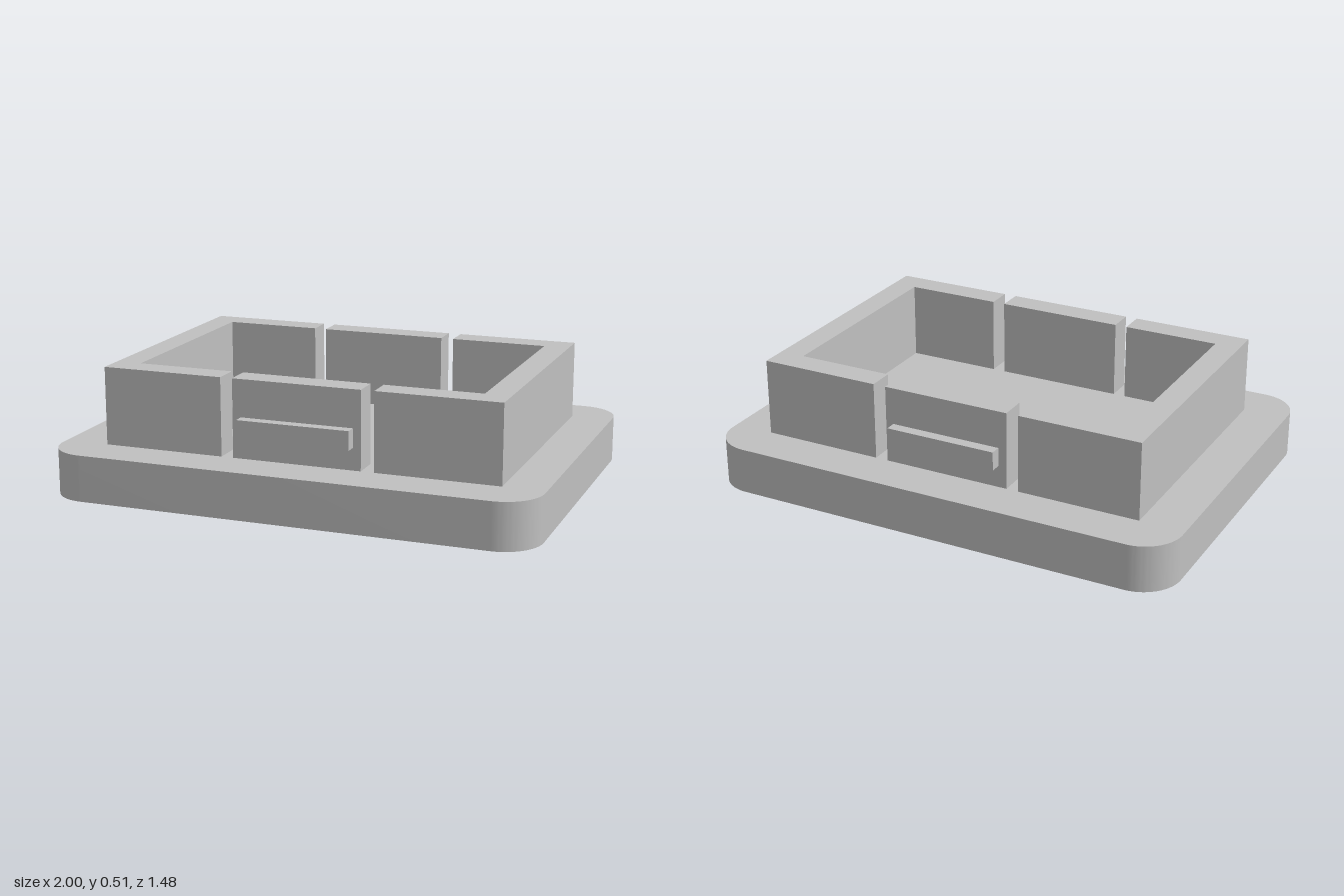
import * as THREE from 'three';
import { toCreasedNormals } from 'three/addons/utils/BufferGeometryUtils.js';

const BASE_TOP = 0.19, WALL_TOP = 0.51;

// Extrudes a plan drawn in (x, -z) upward from y0 to y1
function extrudeUp(shape, y0, y1) {
  const geo = new THREE.ExtrudeGeometry(shape, { depth: y1 - y0, bevelEnabled: false, curveSegments: 16 });
  geo.rotateX(-Math.PI / 2);
  geo.translate(0, y0, 0);
  return toCreasedNormals(geo, 0.6);
}

function roundedRect(w, d, r) {
  const s = new THREE.Shape();
  s.absarc(w - r, d - r, r, 0, Math.PI / 2);
  s.absarc(-w + r, d - r, r, Math.PI / 2, Math.PI);
  s.absarc(-w + r, -d + r, r, Math.PI, Math.PI * 1.5);
  s.absarc(w - r, -d + r, r, Math.PI * 1.5, Math.PI * 2);
  s.closePath();
  return s;
}

// C-shaped plan: an outer wall with two returns ending at xEnd
function bracket(xOut, xIn, xEnd, zOut, zIn) {
  const pts = [
    [xOut, -zOut], [xEnd, -zOut], [xEnd, -zIn], [xIn, -zIn],
    [xIn, zIn], [xEnd, zIn], [xEnd, zOut], [xOut, zOut],
  ];
  return new THREE.Shape(pts.map(([x, y]) => new THREE.Vector2(x, y)));
}

export function createModel() {
  const model = new THREE.Group();
  const grey = new THREE.MeshStandardMaterial({ color: 0xc0c0c0 });
  grey.name = 'light grey';

  const add = (name, geo) => {
    const mesh = new THREE.Mesh(geo, grey);
    mesh.name = name;
    model.add(mesh);
  };
  const box = (x0, x1, y0, y1, z0, z1) =>
    new THREE.BoxGeometry(x1 - x0, y1 - y0, z1 - z0)
      .translate((x0 + x1) / 2, (y0 + y1) / 2, (z0 + z1) / 2);

  // Base plate with rounded corners
  add('basePlate', extrudeUp(roundedRect(1, 0.74, 0.16), 0, BASE_TOP));

  // End walls wrapping both sides
  add('rightEndWall', extrudeUp(bracket(-0.815, -0.71, -0.31, 0.553, 0.445), BASE_TOP, WALL_TOP));
  add('leftEndWall', extrudeUp(bracket(0.83, 0.725, 0.325, 0.553, 0.445), BASE_TOP, WALL_TOP));

  // Clip walls in the gaps, each with an outer catch ridge
  for (const [side, s] of [['front', 1], ['back', -1]]) {
    const span = (a, b) => (s > 0 ? [a, b] : [-b, -a]);
    add(side + 'ClipWall', box(-0.26, 0.272, BASE_TOP, WALL_TOP, ...span(0.445, 0.553)));
    add(side + 'CatchRidge', box(-0.225, 0.24, 0.28, 0.357, ...span(0.553, 0.598)));
  }

  // Nearly flush round inlay in the floor
  const inlay = new THREE.CircleGeometry(0.393, 64);
  inlay.rotateX(-Math.PI / 2);
  inlay.translate(0.008, BASE_TOP + 0.0008, 0);
  add('floorInlay', inlay);

  return model;
}
